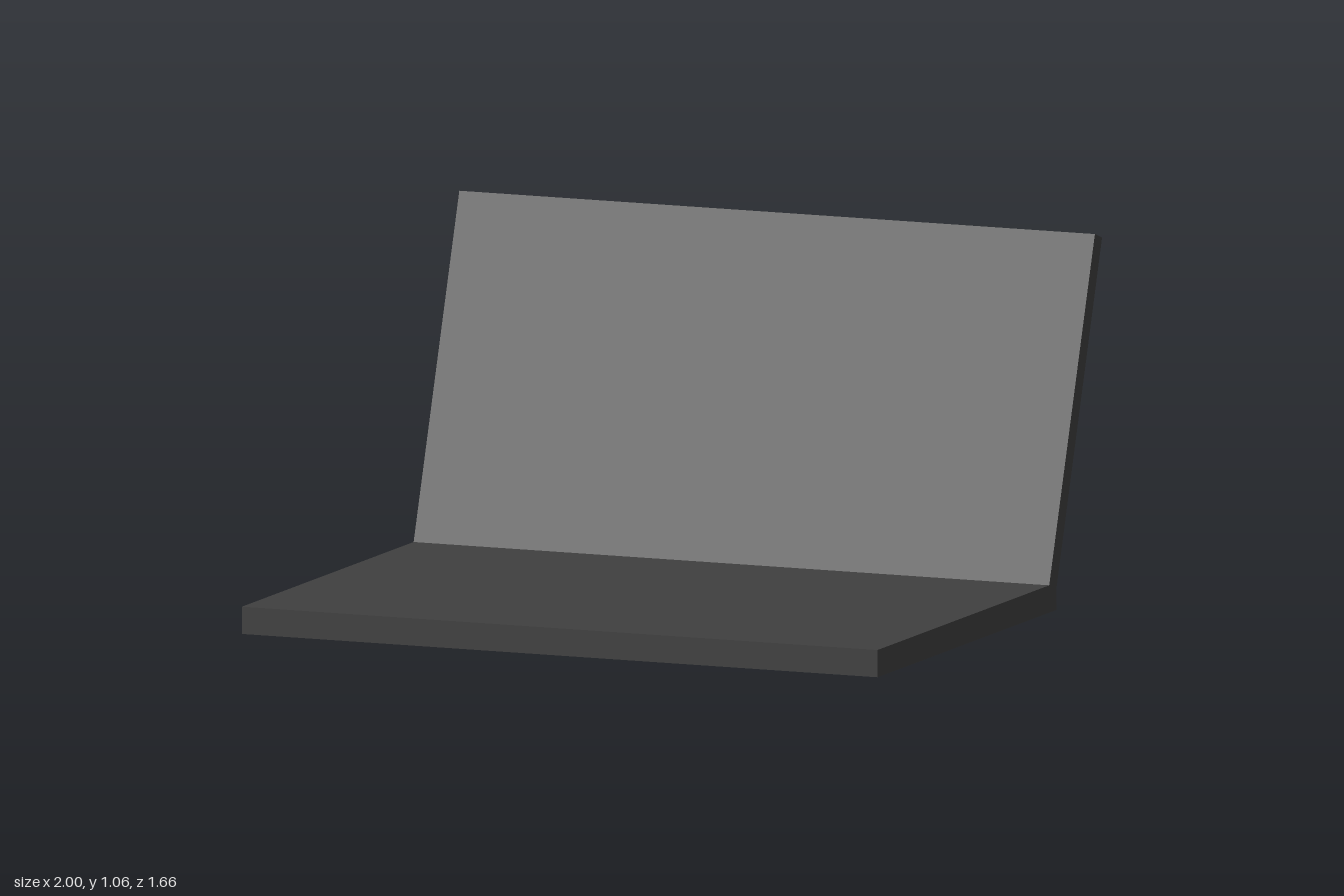
import * as THREE from 'three';

const WIDTH = 2;
const LEAN = 0.332; // backward tilt of the lid, radians

export function createModel() {
  const group = new THREE.Group();
  group.name = 'openLaptop';

  const charcoal = new THREE.MeshStandardMaterial({ color: 0x404040 });
  charcoal.name = 'charcoal';

  const addSlab = (name, height, depth, y, z, tilt = 0) => {
    const slab = new THREE.Mesh(new THREE.BoxGeometry(WIDTH, height, depth), charcoal);
    slab.name = name;
    slab.position.set(0, y, z);
    slab.rotation.x = tilt;
    group.add(slab);
  };

  // Flat base lying on the ground
  addSlab('base', 0.08, 1.325, 0.04, 0.168);

  // Lid leaning back, its lower end sunk into the rear of the base
  addSlab('lid', 1.07, 0.056, 0.545, -0.629, -LEAN);

  return group;
}
